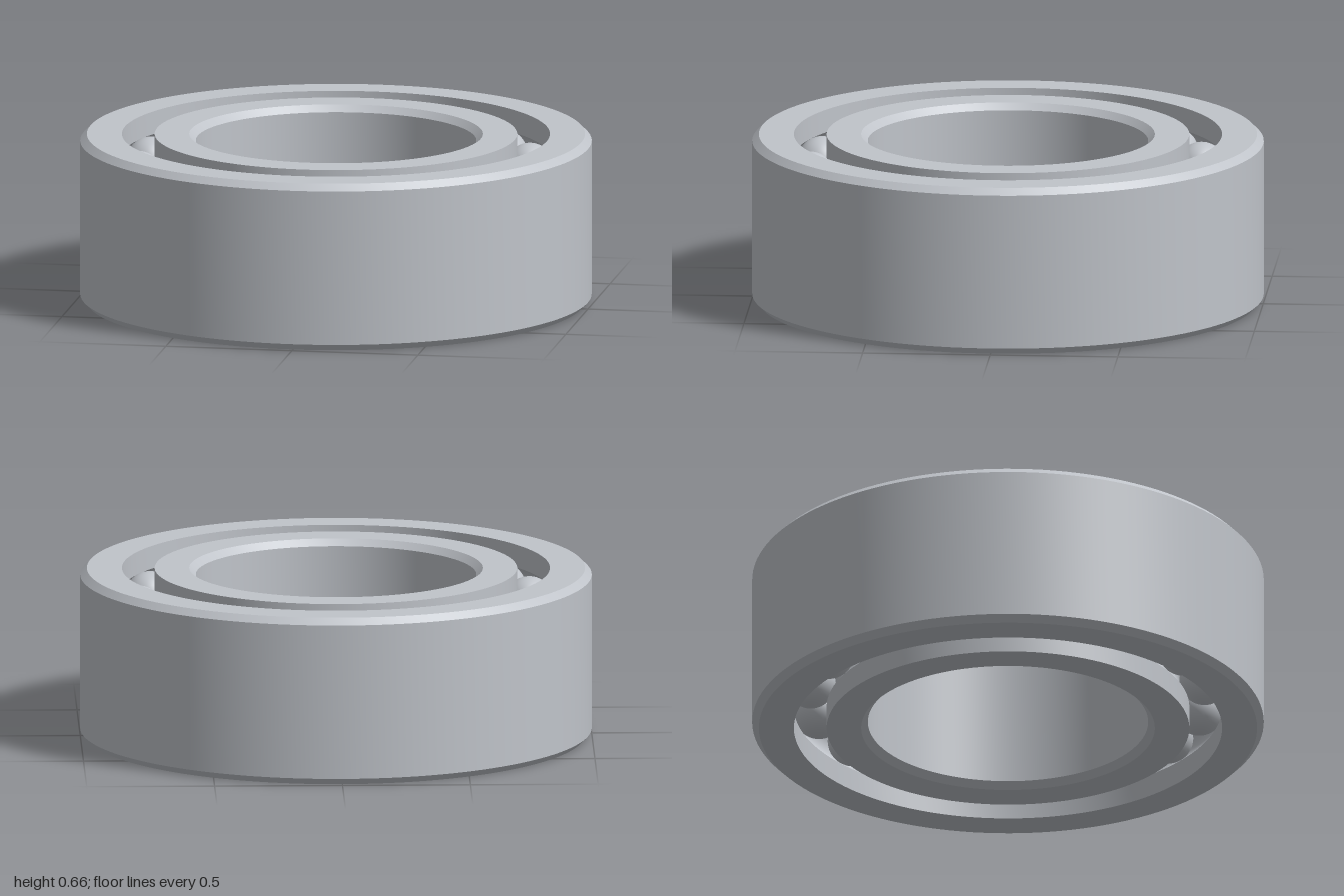
import * as THREE from 'three';
import { toCreasedNormals } from 'three/addons/utils/BufferGeometryUtils.js';

const HEIGHT = 0.664;
const CHAMFER = 0.026;
const PITCH = 0.773;            // radius of the ball circle
const BALL = 0.099;
const BALLS_PER_ROW = 17;
const ROWS = [HEIGHT * 0.25, HEIGHT * 0.75];
const OUTER = { rim: 1, wall: 0.837 };
const INNER = { bore: 0.548, wall: 0.709 };

// Arc of a raceway groove, from angle a to angle b around a ball centre
function groove(y, a, b, steps = 10) {
  return Array.from({ length: steps + 1 }, (_, i) => {
    const t = a + (b - a) * i / steps;
    return [PITCH + BALL * Math.cos(t), y + BALL * Math.sin(t)];
  });
}

// Closed counter-clockwise profile turned into a ring with crisp edges
function ring(name, profile, material) {
  const points = [...profile, profile[0]].map(([x, y]) => new THREE.Vector2(x, y));
  const geometry = toCreasedNormals(new THREE.LatheGeometry(points, 128), 0.5);
  const mesh = new THREE.Mesh(geometry, material);
  mesh.name = name;
  return mesh;
}

export function createModel() {
  const model = new THREE.Group();
  model.name = 'ballBearing';
  const steel = new THREE.MeshStandardMaterial({ color: 0xc0c4ca });
  steel.name = 'steel';

  // Outer ring: chamfered rim, two grooves on the inside wall
  const to = Math.acos((OUTER.wall - PITCH) / BALL);
  model.add(ring('outerRing', [
    [OUTER.rim - CHAMFER, 0], [OUTER.rim, CHAMFER],
    [OUTER.rim, HEIGHT - CHAMFER], [OUTER.rim - CHAMFER, HEIGHT],
    [OUTER.wall, HEIGHT],
    ...groove(ROWS[1], to, -to), ...groove(ROWS[0], to, -to),
    [OUTER.wall, 0],
  ], steel));

  // Inner ring: two grooves on the outside wall, chamfered bore
  const ti = Math.acos((PITCH - INNER.wall) / BALL);
  model.add(ring('innerRing', [
    [INNER.wall, 0],
    ...groove(ROWS[0], Math.PI + ti, Math.PI - ti),
    ...groove(ROWS[1], Math.PI + ti, Math.PI - ti),
    [INNER.wall, HEIGHT], [INNER.bore + CHAMFER, HEIGHT],
    [INNER.bore, HEIGHT - CHAMFER], [INNER.bore, CHAMFER],
    [INNER.bore + CHAMFER, 0],
  ], steel));

  // Two rows of balls
  const ballGeometry = new THREE.SphereGeometry(BALL - 0.001, 32, 20);
  ROWS.forEach((y, row) => {
    const balls = new THREE.Group();
    balls.name = row ? 'upperBalls' : 'lowerBalls';
    for (let i = 0; i < BALLS_PER_ROW; i++) {
      const a = i / BALLS_PER_ROW * Math.PI * 2;
      const ball = new THREE.Mesh(ballGeometry, steel);
      ball.name = 'ball';
      ball.position.set(PITCH * Math.cos(a), y, PITCH * Math.sin(a));
      balls.add(ball);
    }
    model.add(balls);
  });

  return model;
}
